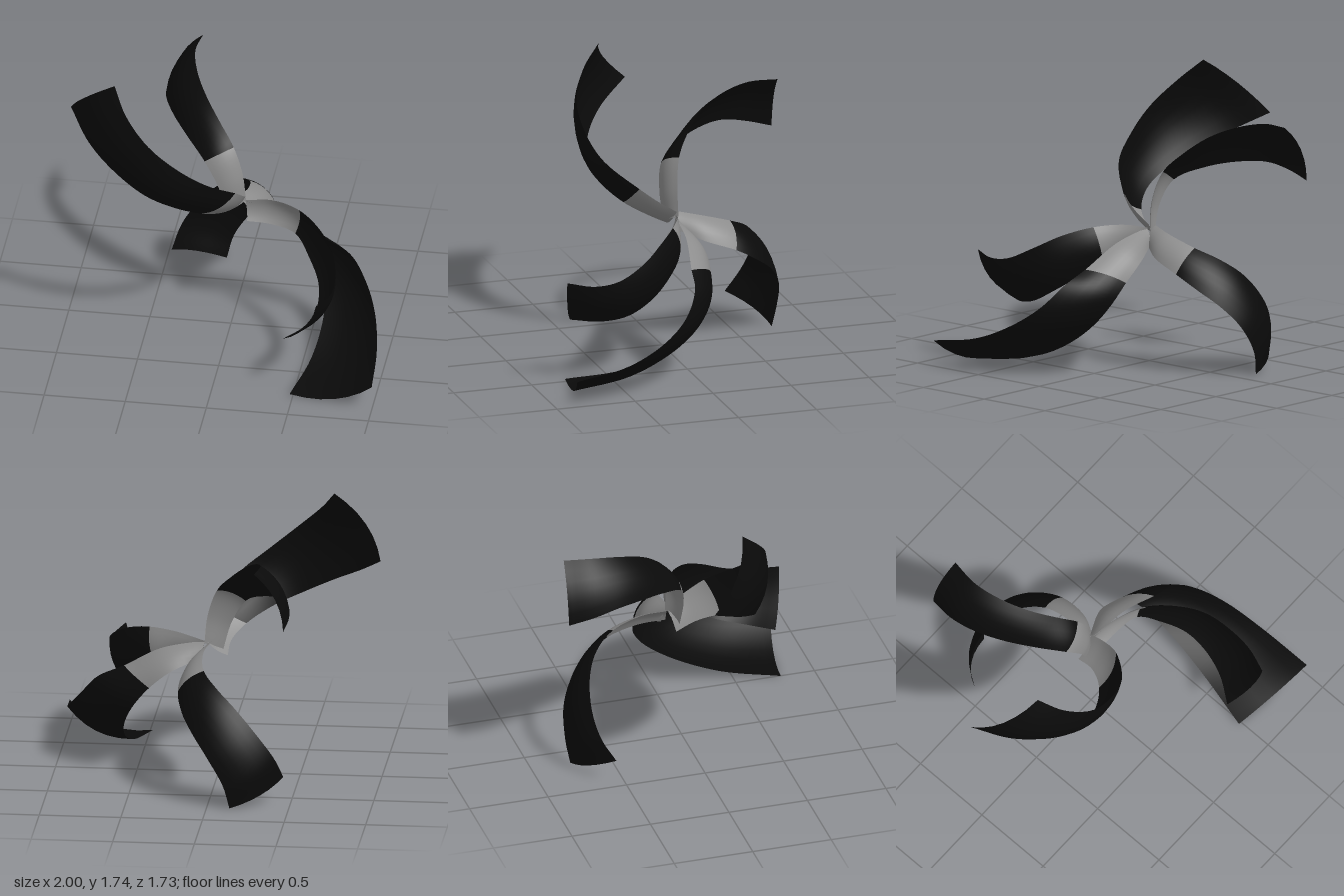
import * as THREE from 'three';

const rootGrey = new THREE.MeshStandardMaterial({ color: 0x8c8c8c, side: THREE.DoubleSide });
rootGrey.name = 'root grey';
const bladeBlack = new THREE.MeshStandardMaterial({ color: 0x0a0a0a, side: THREE.DoubleSide });
bladeBlack.name = 'blade black';

const ACROSS = 6;      // facets across a blade
const STEPS = 6;       // rings between two edge points
const ROOT_POINTS = 2; // edge spans that belong to the grey root
const BULGE = 0.12;    // arch height as a share of the width

const toCurve = (points) => new THREE.CatmullRomCurve3(points.map((p) => new THREE.Vector3(...p)));

// A curved strip between two edge paths, arched outwards, grey at its root
function blade(name, edgeA, edgeB) {
  const a = toCurve(edgeA), b = toCurve(edgeB);
  const rings = (edgeA.length - 1) * STEPS;
  const positions = [], index = [];
  for (let i = 0; i <= rings; i++) {
    const t = i / rings;
    const pa = a.getPoint(t), pb = b.getPoint(t);
    const chord = pa.clone().sub(pb);
    const along = a.getTangent(t).add(b.getTangent(t));
    const out = chord.clone().cross(along).normalize().multiplyScalar(chord.length() * BULGE);
    for (let j = 0; j <= ACROSS; j++) {
      const s = j / ACROSS;
      const p = pa.clone().lerp(pb, s).addScaledVector(out, 4 * s * (1 - s));
      positions.push(p.x, p.y, p.z);
    }
  }
  const row = ACROSS + 1;
  for (let i = 0; i < rings; i++) {
    for (let j = 0; j < ACROSS; j++) {
      const k = i * row + j;
      index.push(k, k + 1, k + row, k + 1, k + row + 1, k + row);
    }
  }
  const geometry = new THREE.BufferGeometry();
  geometry.setAttribute('position', new THREE.Float32BufferAttribute(positions, 3));
  geometry.setIndex(index);
  geometry.computeVertexNormals();
  const split = ROOT_POINTS * STEPS * ACROSS * 6;
  geometry.addGroup(0, split, 0);
  geometry.addGroup(split, index.length - split, 1);
  const mesh = new THREE.Mesh(geometry, [rootGrey, bladeBlack]);
  mesh.name = name;
  return mesh;
}

export function createModel() {
  const model = new THREE.Group();
  model.name = 'curvedBlades';
  model.add(
    blade('upperRightBlade',
      [[0.08, 0.88, -0.07], [0.08, 0.95, 0.04], [0.05, 1.04, 0.16], [-0.1, 1.19, 0.34],
        [-0.27, 1.32, 0.4], [-0.45, 1.47, 0.4], [-0.6, 1.62, 0.31], [-0.69, 1.75, 0.18]],
      [[-0.06, 0.77, -0.05], [-0.07, 0.83, 0.07], [-0.15, 0.9, 0.2], [-0.31, 0.99, 0.3],
        [-0.48, 1.07, 0.32], [-0.68, 1.18, 0.25], [-0.86, 1.29, 0.11], [-1, 1.41, -0.09]]),
    blade('upperBackBlade',
      [[0.08, 0.85, -0.08], [0.06, 1.03, -0.08], [0, 1.2, -0.11], [-0.1, 1.32, -0.2],
        [-0.2, 1.42, -0.32], [-0.28, 1.49, -0.48], [-0.32, 1.53, -0.66], [-0.3, 1.535, -0.84]],
      [[-0.03, 0.8, -0.02], [-0.08, 0.97, -0.01], [-0.17, 1.12, -0.05], [-0.3, 1.2, -0.2],
        [-0.41, 1.24, -0.37], [-0.48, 1.25, -0.54], [-0.5, 1.22, -0.7], [-0.48, 1.18, -0.86]]),
    blade('lowerBackBlade',
      [[0.1, 0.77, -0.07], [0.19, 0.71, -0.22], [0.21, 0.64, -0.41], [0.17, 0.55, -0.56],
        [0.1, 0.46, -0.67], [0, 0.33, -0.75], [-0.1, 0.16, -0.77], [-0.14, 0.01, -0.75]],
      [[0.03, 0.87, -0.08], [0.07, 0.84, -0.23], [0.05, 0.78, -0.42], [-0.04, 0.71, -0.55],
        [-0.16, 0.61, -0.63], [-0.3, 0.45, -0.66], [-0.4, 0.3, -0.63], [-0.45, 0.16, -0.55]]),
    blade('frontBlade',
      [[0.08, 0.86, -0.06], [0.25, 0.9, -0.02], [0.43, 0.9, 0.07], [0.58, 0.85, 0.2],
        [0.68, 0.77, 0.34], [0.72, 0.69, 0.51], [0.71, 0.67, 0.66], [0.65, 0.69, 0.82]],
      [[0.1, 0.75, 0], [0.25, 0.74, 0], [0.4, 0.7, 0.02], [0.5, 0.6, 0.12],
        [0.58, 0.5, 0.26], [0.59, 0.42, 0.41], [0.54, 0.385, 0.57], [0.43, 0.38, 0.73]]),
    blade('lowerLeftBlade',
      [[0.08, 0.86, -0.05], [0.35, 0.8, -0.04], [0.58, 0.67, 0], [0.74, 0.59, 0.03],
        [0.85, 0.46, 0.12], [0.93, 0.34, 0.28], [0.98, 0.23, 0.53], [1, 0.17, 0.87]],
      [[0.1, 0.76, -0.1], [0.28, 0.69, -0.18], [0.41, 0.585, -0.18], [0.51, 0.46, -0.15],
        [0.57, 0.33, -0.06], [0.59, 0.19, 0.13], [0.56, 0.07, 0.42], [0.48, 0.02, 0.78]]),
  );
  return model;
}
